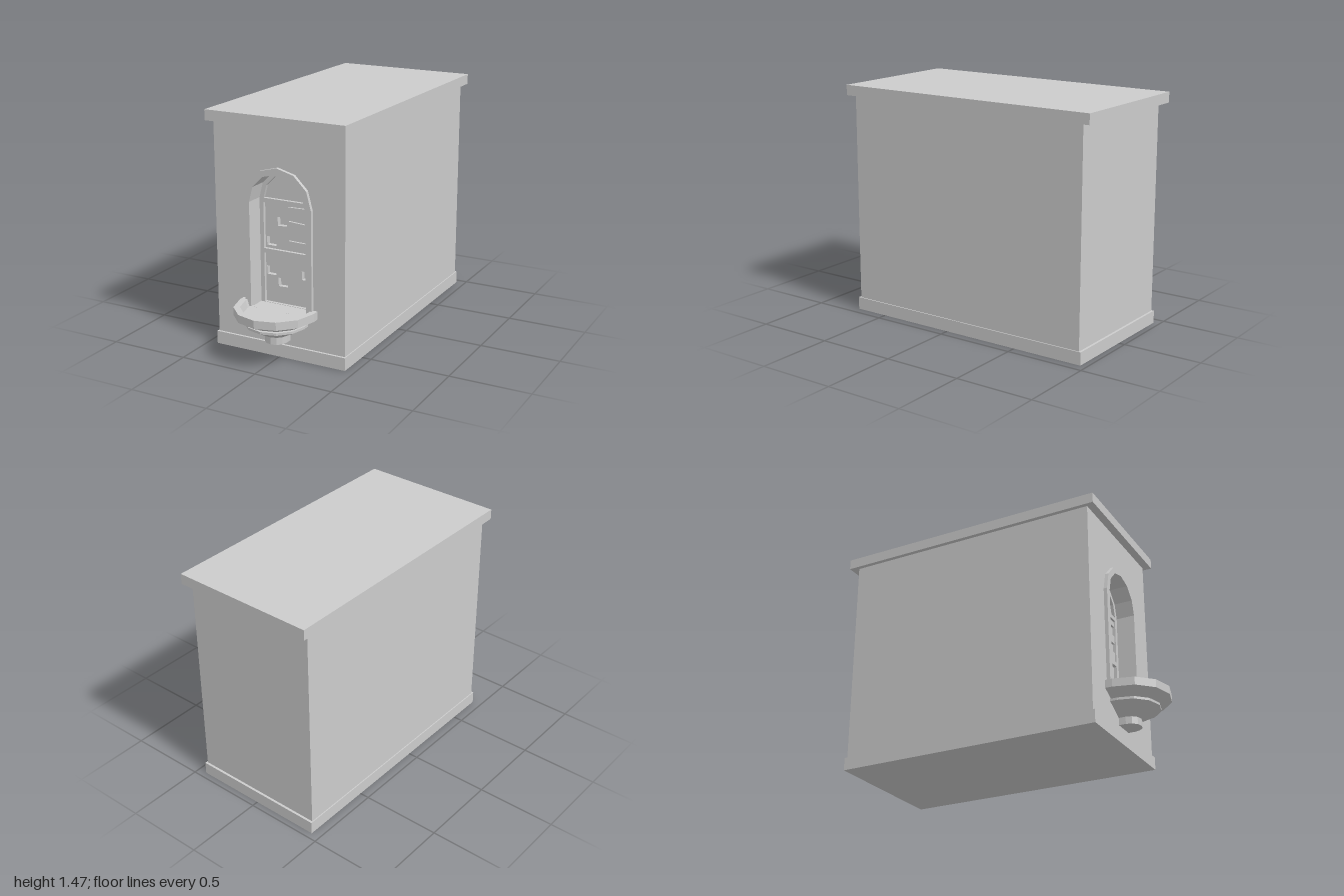
import * as THREE from 'three';

export function createModel() {
  const model = new THREE.Group();
  const mat = new THREE.MeshStandardMaterial({ color: 0xcccccc, flatShading: true });

  const add = (name, geo, parent = model) => {
    const mesh = new THREE.Mesh(geo, mat);
    mesh.name = name;
    parent.add(mesh);
    return mesh;
  };
  // Box given by its limits
  const block = (name, x, y0, y1, z0, z1) =>
    add(name, new THREE.BoxGeometry(2 * x, y1 - y0, z1 - z0).translate(0, (y0 + y1) / 2, (z0 + z1) / 2));
  // Six-sided arch outline with straight legs down to y0
  const SPRING = 0.938;
  const arch = (r, y0) => {
    const pts = [];
    if (y0 < SPRING) pts.push(new THREE.Vector2(-r, y0), new THREE.Vector2(r, y0));
    for (let i = 0; i <= 6; i++) {
      const a = (i * Math.PI) / 6;
      pts.push(new THREE.Vector2(r * Math.cos(a), SPRING + r * Math.sin(a)));
    }
    return pts;
  };
  const rect = (cx, cy, w, h, turn = 0) =>
    [[-1, -1], [1, -1], [1, 1], [-1, 1]].map(([u, v]) =>
      new THREE.Vector2(u * w / 2, v * h / 2).rotateAround(new THREE.Vector2(), turn).add(new THREE.Vector2(cx, cy)));
  // Flat plate with holes between two depths
  const plate = (name, outline, holes, z0, z1, parent = model) => {
    const shape = new THREE.Shape(outline);
    shape.holes = holes.map((h) => new THREE.Path(h));
    return add(name, new THREE.ExtrudeGeometry(shape, { depth: z1 - z0, bevelEnabled: false }).translate(0, 0, z0), parent);
  };

  // Main block, plinth and roof slab
  const FRONT = 0.705, FLOOR = 0.285, NICHE = 0.187;
  block('plinth', 0.44, 0, 0.08, -0.96, 0.72);
  block('body', 0.433, 0.08, 1.4, -0.945, 0.56);
  block('roofSlab', 0.46, 1.4, 1.465, -1, 0.755);
  plate('frontWall', rect(0, 0.74, 0.866, 1.32), [arch(NICHE, FLOOR)], 0.56, FRONT);

  // Arched surround
  plate('archTrim', [...arch(0.225, 0.29)], [arch(NICHE, 0.2901)], FRONT, 0.727).visible = true;

  // Back of the niche: pocketed sheet, then a frame with three openings
  const niche = new THREE.Group();
  niche.name = 'niche';
  model.add(niche);
  const pockets = [
    [-0.045, 0.8, 0.05], [-0.12, 0.67, 0], [-0.123, 0.485, 0],
    [-0.045, 0.42, 0.04], [0.115, 0.485, 0],
  ].map(([x, y, t]) => rect(x, y, 0.063, 0.054, t));
  plate('pocketSheet', arch(NICHE, FLOOR), pockets, 0.56, 0.59, niche);
  plate('nicheFrame', arch(NICHE, 0.28),
    [arch(0.16, SPRING), rect(-0.002, 0.768, 0.318, 0.285), rect(-0.002, 0.442, 0.318, 0.31)], 0.59, 0.61, niche);

  // Slightly crooked raised bricks on the upper panel
  [[0.884, 0.034, 0.02], [0.781, 0.055, -0.06], [0.661, 0.06, -0.02]].forEach(([y, h, turn]) =>
    plate('brick', rect(0.077, y, 0.148, h, turn), [], 0.585, 0.604, niche));

  // Basin: half-round twelve-sided profile, sides run straight back to the wall
  const profile = [
    [0, 0.115], [0.07, 0.115], [0.07, 0.16], [0.187, 0.222], [0.187, 0.237], [0.165, 0.237],
    [0.252, 0.28], [0.252, 0.33], [0.213, 0.33], [0.2, FLOOR], [0, FLOOR],
  ].map(([r, y]) => new THREE.Vector2(r, y));
  const basin = new THREE.LatheGeometry(profile, 8);
  const pos = basin.attributes.position;
  for (let i = 0; i <= 8; i++) {
    const a = (THREE.MathUtils.clamp(i - 1, 0, 6) - 3) * Math.PI / 6;
    profile.forEach((p, j) => {
      const z = i === 0 || i === 8 ? 0.7 : 0.748 + p.x * Math.cos(a);
      pos.setXYZ(i * profile.length + j, p.x * Math.sin(a), p.y, z);
    });
  }
  // Close the gap along the centre line of floor and underside
  for (let i = 0; i <= 8; i++) {
    for (const j of [0, profile.length - 1]) pos.setXYZ(i * profile.length + j, 0, profile[j].y, 0.7);
  }
  basin.computeVertexNormals();
  add('basin', basin);

  return model;
}
